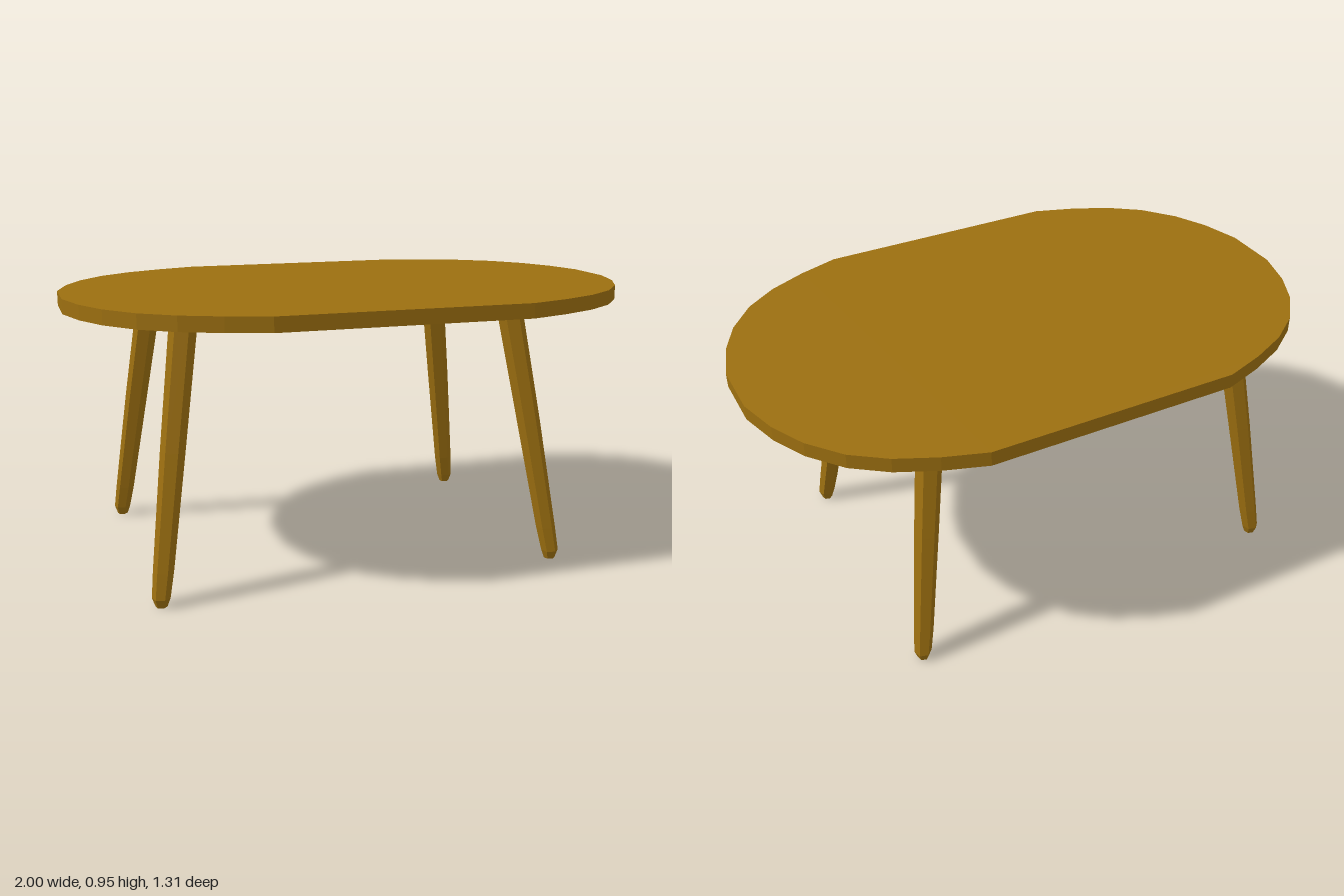
import * as THREE from 'three';

// Leg sections from top to foot: height, share of the splay, radius
const SECTIONS = [
  [0.92, 0, 0.046],
  [0.5, 0.48, 0.041],
  [0.12, 0.9, 0.034],
  [0.035, 1, 0.03],
  [0.005, 1, 0.019],
];

// Faceted, tapering leg that splays from its top point to its foot point
function legGeometry(top, foot) {
  const rings = SECTIONS.length - 1;
  const geo = new THREE.CylinderGeometry(1, 1, 1, 6, rings).rotateY(Math.PI / 12);
  const pos = geo.attributes.position;
  for (let i = 0; i < pos.count; i++) {
    const [y, t, r] = SECTIONS[Math.round((0.5 - pos.getY(i)) * rings)];
    pos.setXYZ(
      i,
      THREE.MathUtils.lerp(top[0], foot[0], t) + pos.getX(i) * r,
      y,
      THREE.MathUtils.lerp(top[1], foot[1], t) + pos.getZ(i) * r,
    );
  }
  geo.computeVertexNormals();
  return geo;
}

export function createModel() {
  const table = new THREE.Group();
  table.name = 'table';
  const wood = new THREE.MeshStandardMaterial({ color: 0x9c6f10, flatShading: true });
  wood.name = 'wood';

  // Oval top with straight long sides: one quarter, mirrored around
  const quarter = [[1, 0.1], [0.96, 0.24], [0.9, 0.36], [0.81, 0.47], [0.7, 0.55], [0.57, 0.61], [0.43, 0.657]];
  const back = [...quarter].reverse();
  const outline = [
    ...quarter,
    ...back.map(([x, z]) => [-x, z]),
    ...quarter.map(([x, z]) => [-x, -z]),
    ...back.map(([x, z]) => [x, -z]),
  ].map(([x, z]) => new THREE.Vector2(x, z));
  const topGeo = new THREE.ExtrudeGeometry(new THREE.Shape(outline), { depth: 0.05, bevelEnabled: false });
  topGeo.rotateX(-Math.PI / 2).translate(0, 0.907, 0);
  const top = new THREE.Mesh(topGeo, wood);
  top.name = 'tableTop';
  table.add(top);

  // Four splayed legs; the right pair stands further out than the left
  for (const [side, topX, footX] of [['left', 0.488, 0.62], ['right', -0.645, -0.772]]) {
    for (const [end, s] of [['Front', 1], ['Back', -1]]) {
      const leg = new THREE.Mesh(legGeometry([topX, s * 0.347], [footX, s * 0.481]), wood);
      leg.name = `${side}${end}Leg`;
      table.add(leg);
    }
  }
  return table;
}
